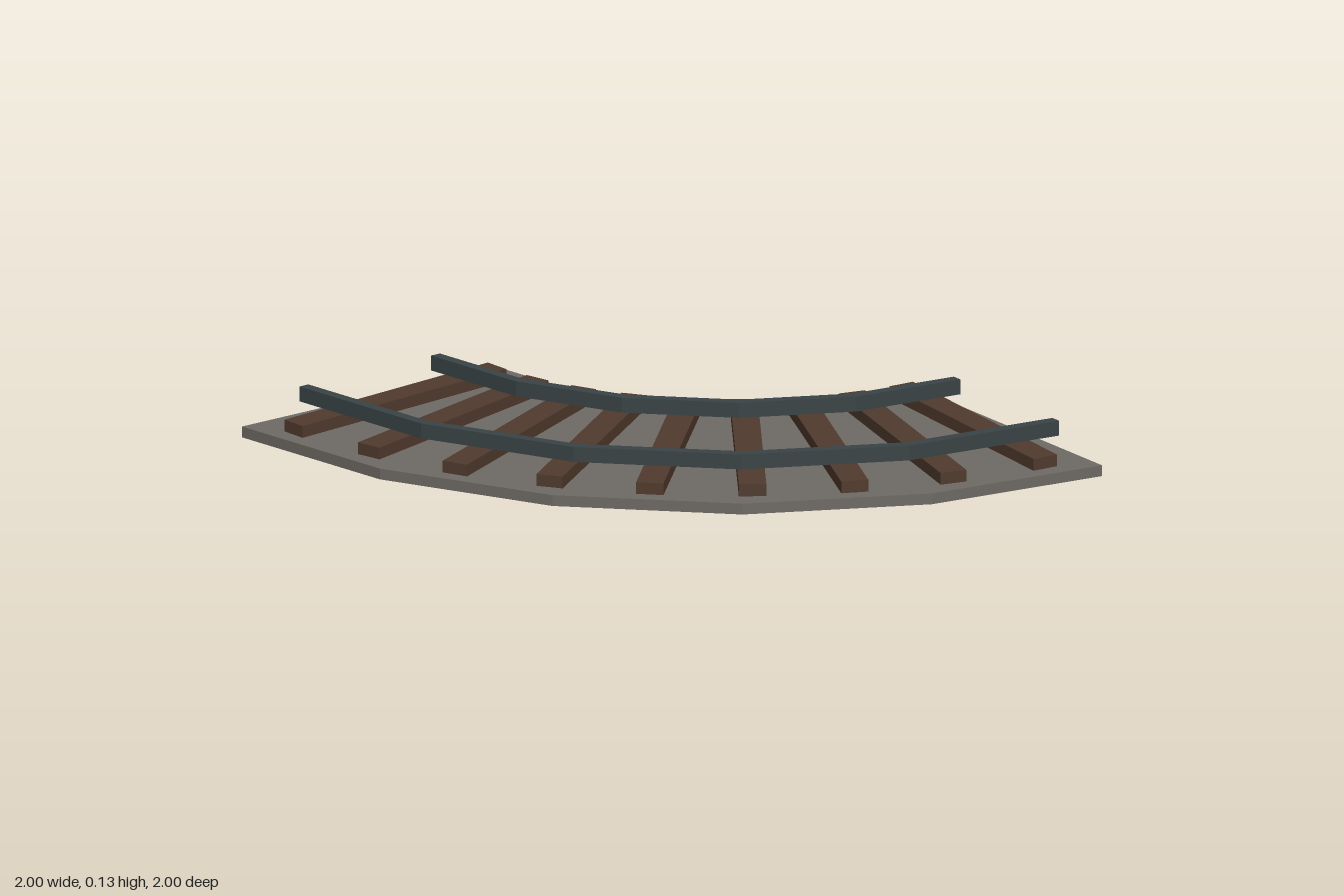
import * as THREE from 'three';

const SEGMENTS = 5;
const SLEEPERS = 9;

// Flat quarter-ring slab between two radii, faceted, centred on x = 1, z = -1
function arcSlab(inner, outer, bottom, height) {
  const points = [];
  const add = (radius, i) => {
    const a = (i / SEGMENTS) * Math.PI / 2;
    points.push(new THREE.Vector2(1 - radius * Math.cos(a), 1 - radius * Math.sin(a)));
  };
  for (let i = 0; i <= SEGMENTS; i++) add(outer, i);
  for (let i = SEGMENTS; i >= 0; i--) add(inner, i);
  const geometry = new THREE.ExtrudeGeometry(new THREE.Shape(points), { depth: height, bevelEnabled: false });
  return geometry.rotateX(-Math.PI / 2).translate(0, bottom, 0);
}

export function createModel() {
  const gravel = new THREE.MeshStandardMaterial({ color: 0x6e6a64 });
  gravel.name = 'gravel grey';
  const wood = new THREE.MeshStandardMaterial({ color: 0x503a2d });
  wood.name = 'dark wood';
  const steel = new THREE.MeshStandardMaterial({ color: 0x394345 });
  steel.name = 'dark steel';

  const group = new THREE.Group();
  group.name = 'curvedTrack';
  const addPart = (name, geometry, material) => {
    const mesh = new THREE.Mesh(geometry, material);
    mesh.name = name;
    group.add(mesh);
    return mesh;
  };

  // Gravel bed
  addPart('trackBed', arcSlab(0.965, 2, 0, 0.037), gravel);

  // Sleepers fanned around the centre of the curve
  const from = 1.034, to = 1.923;
  const sleeper = new THREE.BoxGeometry(to - from, 0.042, 0.09).translate(-(from + to) / 2, 0.056, 0);
  for (let i = 0; i < SLEEPERS; i++) {
    const mesh = addPart(`sleeper${i + 1}`, sleeper, wood);
    mesh.position.set(1, 0, -1);
    mesh.rotation.y = ((i + 0.5) / SLEEPERS) * Math.PI / 2;
  }

  // Rails
  for (const [name, radius] of [['innerRail', 1.213], ['outerRail', 1.748]]) {
    addPart(name, arcSlab(radius - 0.018, radius + 0.018, 0.077, 0.051), steel);
  }
  return group;
}
